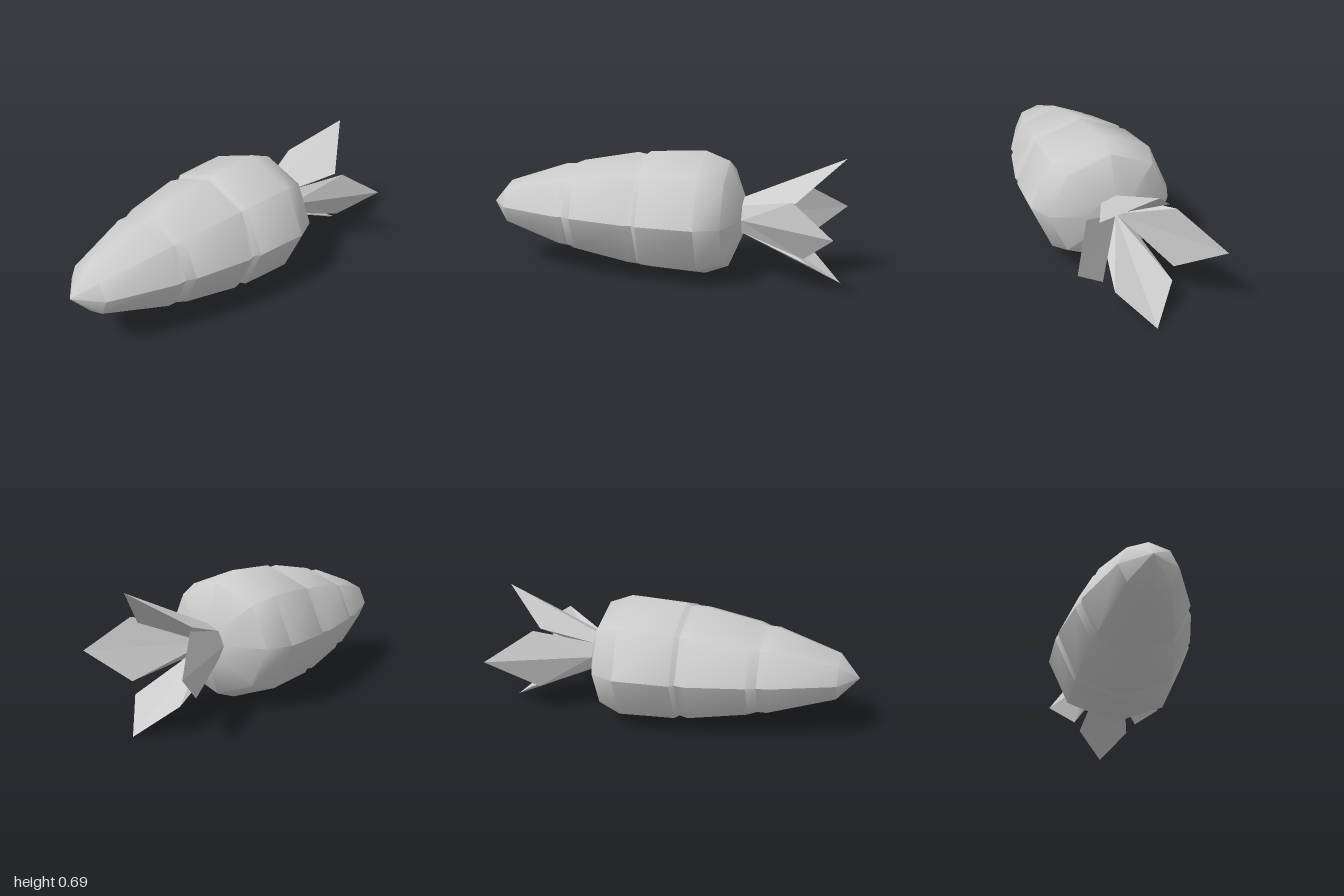
import * as THREE from 'three';
import { toCreasedNormals } from 'three/addons/utils/BufferGeometryUtils.js';

const CY = 0.351; // height of the root's axis
const BACK = -0.455; // z of the flat crown
const RATIO = 1.115; // the root is slightly wider than tall

// Tapered eight-sided root with two grooves, turned about z
function makeRoot(material) {
  const profile = [
    [0, BACK], [0.103, BACK], [0.295, -0.375], [0.346, -0.245], [0.332, 0.06],
    [0.314, 0.085], [0.323, 0.135], [0.265, 0.445], [0.244, 0.495],
    [0.243, 0.545], [0.128, 0.89], [0, 1],
  ].map(([r, z]) => new THREE.Vector2(r, z));
  const geometry = new THREE.LatheGeometry(profile, 8);
  geometry.rotateX(Math.PI / 2);
  geometry.scale(RATIO, 1, 1);
  geometry.translate(0, CY, 0);
  const mesh = new THREE.Mesh(toCreasedNormals(geometry, THREE.MathUtils.degToRad(46.5)), material);
  mesh.name = 'root';
  return mesh;
}

// Folded leaf: a quarter of the crown drawn out to two side corners and a tip
function makeLeaf(name, angle, sideA, sideB, tip, material) {
  const rim = (a) => [Math.cos(a) * 0.103 * RATIO, CY + Math.sin(a) * 0.103, BACK];
  const centre = [0, CY, BACK];
  const outer = rim(angle);
  const a = rim(angle + Math.PI / 4);
  const b = rim(angle - Math.PI / 4);
  const faces = [
    [outer, tip, sideA], [outer, sideA, a], // outer half
    [outer, sideB, tip], [outer, b, sideB], // other outer half
    [centre, a, sideA], [centre, sideB, b], // stem sides
    [centre, sideA, tip], [centre, tip, sideB], // inner fold
  ];
  const geometry = new THREE.BufferGeometry();
  geometry.setAttribute('position', new THREE.Float32BufferAttribute(faces.flat(2), 3));
  geometry.computeVertexNormals();
  const mesh = new THREE.Mesh(geometry, material);
  mesh.name = name;
  return mesh;
}

export function createModel() {
  const group = new THREE.Group();
  group.name = 'carrot';
  const rootMaterial = new THREE.MeshStandardMaterial({ color: 0xcccccc });
  const leafMaterial = new THREE.MeshStandardMaterial({
    color: 0xcccccc, flatShading: true, side: THREE.DoubleSide,
  });
  group.add(makeRoot(rootMaterial));

  // name, direction, counter-clockwise corner, clockwise corner, tip
  const leaves = [
    ['leftLeaf', 0, [0.26, 0.5, -0.73], [0.2, 0.19, -0.79], [0.38, CY, -0.94]],
    ['topLeaf', Math.PI / 2, [-0.16, 0.51, -0.735], [0.2, 0.48, -0.74], [0.02, 0.69, -0.985]],
    ['rightLeaf', Math.PI, [-0.19, 0.17, -0.75], [-0.18, 0.5, -0.77], [-0.34, CY, -1]],
    ['bottomLeaf', -Math.PI / 2, [0.15, 0.14, -0.82], [-0.15, 0.14, -0.82], [0, 0.005, -0.985]],
  ];
  for (const leaf of leaves) group.add(makeLeaf(...leaf, leafMaterial));
  return group;
}
